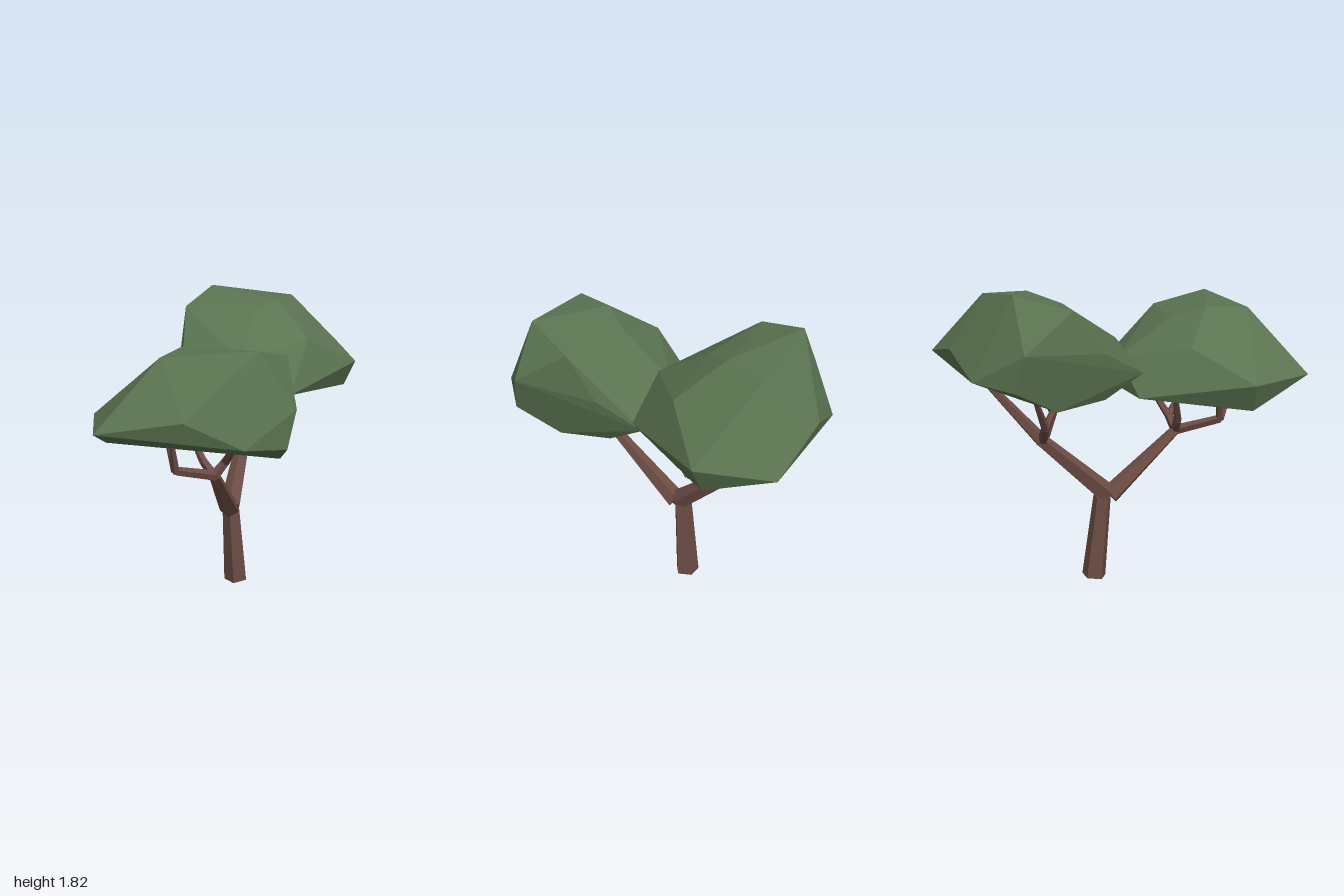
import * as THREE from 'three';
import { ConvexGeometry } from 'three/addons/geometries/ConvexGeometry.js';

const bark = new THREE.MeshStandardMaterial({ color: 0x6d4c45 });
bark.name = 'barkBrown';
const leaf = new THREE.MeshStandardMaterial({ color: 0x5a7350 });
leaf.name = 'leafGreen';
bark.flatShading = leaf.flatShading = true;

const vec = (p) => new THREE.Vector3(...p);

// Tapered five-sided limb between two points
function limb(name, from, to, r0, r1) {
  const a = vec(from), b = vec(to);
  const dir = b.clone().sub(a);
  const mesh = new THREE.Mesh(new THREE.CylinderGeometry(r1, r0, dir.length(), 5), bark);
  mesh.position.copy(a).add(b).multiplyScalar(0.5);
  mesh.quaternion.setFromUnitVectors(new THREE.Vector3(0, 1, 0), dir.normalize());
  mesh.name = name;
  return mesh;
}

// Corners of one faceted leaf mass
const canopyPoints = [
  // crown
  [0.29, 1.71, 0.72], [-0.23, 1.66, 0.75], [-0.17, 1.67, 0.5], [0.39, 1.62, 0.41],
  [-0.06, 1.6, 0.32], [-0.4, 1.47, 0.3],
  // outer rim
  [0.49, 1.41, 0.72], [-0.05, 1.38, 1.0], [0.26, 1.24, 0.95], [-0.53, 1.29, 1.0],
  [-0.67, 1.28, 0.58], [0.45, 1.2, 0.76],
  // inner rim
  [0.38, 1.37, 0.22], [-0.05, 1.38, -0.01], [0.31, 1.23, -0.04], [-0.35, 1.19, 0.0],
  // underside
  [-0.6, 1.12, 0.6], [0.37, 1.06, 0.5], [0.3, 1.09, 0.19],
];

export function createModel() {
  const tree = new THREE.Group();
  tree.name = 'tree';

  // Trunk and the two main branches
  const fork = [-0.03, 0.89, 0.38], backFork = [-0.02, 0.9, -0.48];
  const wood = new THREE.Group();
  wood.name = 'wood';
  wood.add(
    limb('trunk', [-0.015, 0, -0.16], [-0.035, 0.52, -0.11], 0.076, 0.056),
    limb('frontBranch', [-0.035, 0.52, -0.06], fork, 0.062, 0.032),
    limb('backBranch', [-0.035, 0.53, -0.08], backFork, 0.066, 0.042),
    limb('backBranchTip', backFork, [0.07, 1.27, -0.79], 0.042, 0.022),
  );

  // Twigs: bend point followed by the tips that sprout from it
  const twigs = [
    ['frontTwig', fork, [-0.2, 0.98, 0.6], [[-0.2, 1.15, 0.66], [-0.25, 1.12, 0.56]]],
    ['frontTwig', fork, [0.03, 0.97, 0.36], [[0.13, 1.13, 0.28], [0.12, 1.12, 0.5]]],
    ['frontTwig', fork, [-0.1, 0.97, 0.36], [[-0.2, 1.14, 0.3]]],
    ['backTwig', backFork, [0.26, 1.0, -0.32], [[0.3, 1.22, -0.2], [0.2, 1.22, -0.24], [0.29, 1.2, -0.42]]],
    ['backTwig', backFork, [-0.14, 1.01, -0.5], [[-0.27, 1.22, -0.6], [-0.1, 1.22, -0.38]]],
  ];
  for (const [name, start, bend, tips] of twigs) {
    wood.add(limb(name, start, bend, 0.032, 0.026));
    for (const tip of tips) wood.add(limb(name + 'Tip', bend, tip, 0.026, 0.015));
  }
  tree.add(wood);

  // Two leaf masses, the rear one turned half round and raised
  const leaves = new ConvexGeometry(canopyPoints.map(vec));
  const front = new THREE.Mesh(leaves, leaf);
  front.name = 'frontCanopy';
  const back = new THREE.Mesh(leaves, leaf);
  back.name = 'backCanopy';
  back.rotation.y = Math.PI;
  back.position.y = 0.1;
  tree.add(front, back);
  return tree;
}
